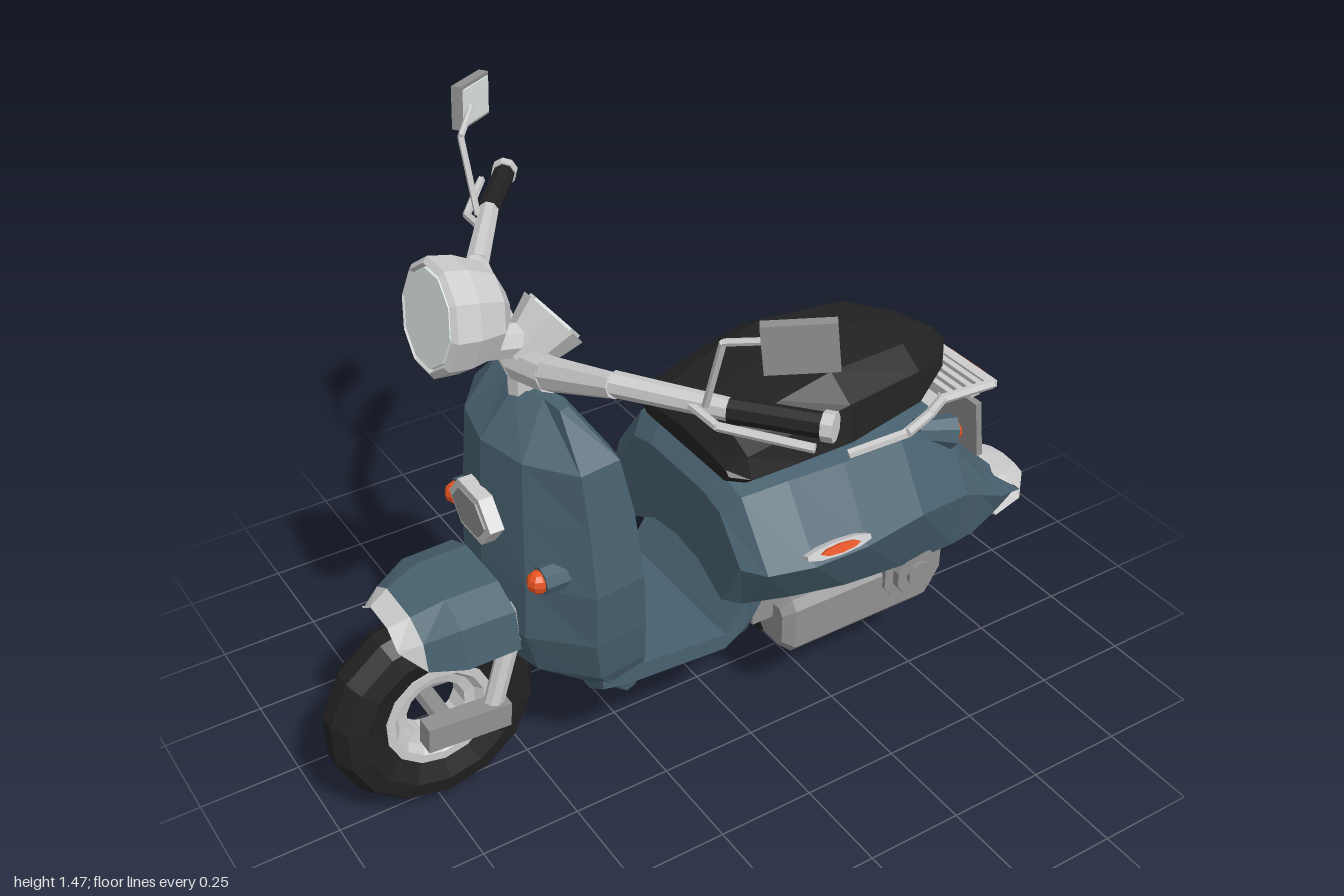
import * as THREE from 'three';

const mat = (color, side = THREE.FrontSide) => new THREE.MeshStandardMaterial({ color, flatShading: true, side });
const V = (x, y, z) => new THREE.Vector3(x, y, z);

export function createModel() {
  const model = new THREE.Group();
  const paint = mat(0x48616f), paintThin = mat(0x48616f, THREE.DoubleSide);
  const grey = mat(0xcccccc), greyThin = mat(0xcccccc, THREE.DoubleSide);
  const metal = mat(0x909090), black = mat(0x222222), orange = mat(0xe6531f), glass = mat(0xdfe8e6);

  function add(name, geo, material, pos = [0, 0, 0], rot = [0, 0, 0]) {
    const m = new THREE.Mesh(geo, material);
    m.name = name;
    m.position.set(...pos);
    m.rotation.set(...rot);
    model.add(m);
    return m;
  }
  const box = (name, size, material, pos, rot) => add(name, new THREE.BoxGeometry(...size), material, pos, rot);

  // straight round bar between two points
  function rod(name, a, b, r, material, r2 = r, sides = 8) {
    const p = V(...a), q = V(...b), d = q.clone().sub(p);
    const m = add(name, new THREE.CylinderGeometry(r2, r, d.length(), sides), material);
    m.position.copy(p).add(q).multiplyScalar(0.5);
    m.quaternion.setFromUnitVectors(V(0, 1, 0), d.normalize());
    return m;
  }
  const bars = (name, pts, r, material, sides) => {
    for (let i = 1; i < pts.length; i++) rod(name, pts[i - 1], pts[i], r, material, r, sides);
  };

  // mirror a half outline that runs from centre to centre
  const mirror = half => half.concat(half.slice().reverse().filter(p => Math.abs(p.z) > 1e-6).map(p => V(p.x, p.y, -p.z)));

  // skin over cross-sections; closed skins get end caps and are turned outward
  function loft(rings, closed = true) {
    const pos = [], n = rings[0].length;
    const tri = (a, b, c) => pos.push(...a.toArray(), ...b.toArray(), ...c.toArray());
    for (let i = 0; i < rings.length - 1; i++) {
      for (let j = 0; j < (closed ? n : n - 1); j++) {
        const k = (j + 1) % n, A = rings[i], B = rings[i + 1];
        tri(A[j], A[k], B[k]);
        tri(A[j], B[k], B[j]);
      }
    }
    if (closed) {
      [rings[0], rings[rings.length - 1]].forEach((r, e) => {
        const c = r.reduce((s, p) => s.add(p), V(0, 0, 0)).divideScalar(n);
        for (let j = 0; j < n; j++) e ? tri(c, r[j], r[(j + 1) % n]) : tri(c, r[(j + 1) % n], r[j]);
      });
      let vol = 0;
      for (let i = 0; i < pos.length; i += 9) {
        vol += V(...pos.slice(i, i + 3)).dot(V(...pos.slice(i + 3, i + 6)).cross(V(...pos.slice(i + 6, i + 9))));
      }
      if (vol < 0) for (let i = 0; i < pos.length; i += 9) {
        for (let j = 0; j < 3; j++) [pos[i + 3 + j], pos[i + 6 + j]] = [pos[i + 6 + j], pos[i + 3 + j]];
      }
    }
    const g = new THREE.BufferGeometry();
    g.setAttribute('position', new THREE.Float32BufferAttribute(pos, 3));
    g.computeVertexNormals();
    return g;
  }

  // wheels: tyre and open rim turned about the axle
  const turned = pts => new THREE.LatheGeometry(pts.map(p => new THREE.Vector2(...p)), 14).rotateX(Math.PI / 2);
  const tyre = turned([[0.13, -0.05], [0.19, -0.072], [0.235, -0.06], [0.26, -0.022], [0.26, 0.022], [0.235, 0.06], [0.19, 0.072], [0.13, 0.05], [0.13, -0.05]]);
  const rim = turned([[0.075, -0.03], [0.1, -0.035], [0.115, -0.056], [0.137, -0.056], [0.137, 0.056], [0.115, 0.056], [0.1, 0.035], [0.075, 0.03], [0.075, -0.03]]);
  for (const [name, x, y] of [['front', -0.74, 0.29], ['rear', 0.38, 0.27]]) {
    add(name + 'Tyre', tyre, black, [x, y, 0]);
    add(name + 'Rim', rim, greyThin, [x, y, 0]);
    rod(name + 'Axle', [x, y, -0.12], [x, y, 0.12], 0.025, metal);
  }

  // front fork and trailing links
  for (const s of [1, -1]) {
    rod('frontFork', [-0.63, 0.29, s * 0.1], [-0.53, 0.6, s * 0.1], 0.024, grey);
    box('forkLink', [0.21, 0.065, 0.05], metal, [-0.7, 0.285, s * 0.105], [0, 0, -0.08]);
  }

  // front fender: x, top, bottom, half width
  const fender = [[-0.84, 0.585, 0.55, 0.1], [-0.79, 0.605, 0.5, 0.135], [-0.71, 0.63, 0.495, 0.17], [-0.58, 0.63, 0.5, 0.175]].map(([x, t, b, w]) =>
    [V(x, b, w), V(x, t - 0.035, w * 0.9), V(x, t, w * 0.45), V(x, t, -w * 0.45), V(x, t - 0.035, -w * 0.9), V(x, b, -w)]);
  add('fenderTrim', loft(fender.slice(0, 2), false), greyThin);
  add('frontFender', loft(fender.slice(1), false), paintThin);

  // leg shield: y, front x, rear x, half width
  add('legShield', loft([
    [1.065, -0.47, -0.4, 0.14], [0.96, -0.56, -0.335, 0.245], [0.82, -0.57, -0.31, 0.26], [0.65, -0.58, -0.3, 0.28],
    [0.5, -0.585, -0.29, 0.265], [0.38, -0.55, -0.28, 0.24], [0.26, -0.36, -0.28, 0.19],
  ].map(([y, f, b, w]) => mirror([
    V(f, y, 0), V(f + 0.03, y, w * 0.55), V(f + (b - f) * 0.5, y, w), V(b - 0.01, y, w * 0.95), V(b, y, w * 0.7),
    V(b - 0.045, y, w * 0.35), V(b - 0.03, y, w * 0.18), V(b - 0.025, y, 0),
  ]))), paint);

  // floor: x, top, bottom, half width
  add('floorboard', loft([
    [-0.4, 0.37, 0.28, 0.22], [-0.33, 0.36, 0.26, 0.22], [-0.06, 0.335, 0.25, 0.22], [0, 0.42, 0.245, 0.22], [0.055, 0.5, 0.24, 0.2], [0.11, 0.5, 0.41, 0.2],
  ].map(([x, t, b, w]) => mirror([V(x, t, 0), V(x, t, w), V(x, (t + b) / 2, w), V(x, b, w * 0.7), V(x, b, 0)]))), paint);

  // rear body: x, top y, half width, waist y, half width, bottom y, half width
  add('rearBody', loft([
    [-0.06, 0.7, 0.19, 0.57, 0.28, 0.43, 0.2], [-0.02, 0.745, 0.22, 0.57, 0.335, 0.42, 0.23], [0.1, 0.755, 0.235, 0.56, 0.355, 0.41, 0.26],
    [0.25, 0.76, 0.25, 0.56, 0.357, 0.395, 0.28], [0.42, 0.76, 0.25, 0.58, 0.35, 0.38, 0.28], [0.6, 0.71, 0.215, 0.54, 0.3, 0.365, 0.265],
    [0.68, 0.58, 0.185, 0.49, 0.27, 0.36, 0.25], [0.8, 0.46, 0.14, 0.41, 0.22, 0.35, 0.2], [0.92, 0.36, 0.08, 0.35, 0.16, 0.335, 0.14],
  ].map(([x, t, tw, m, mw, b, bw]) => mirror([
    V(x, t, 0), V(x, t, tw * 0.6), V(x, t - 0.02, tw), V(x, m, mw), V(x, b, bw), V(x, b + (m - b) * 0.4, 0.1), V(x, b + (m - b) * 0.5, 0),
  ]))), paint);
  add('tailTip', loft([[0.79, 0.385, 0.335, 0.215], [0.91, 0.375, 0.31, 0.172], [1, 0.345, 0.333, 0.08]].map(([x, t, b, w]) =>
    mirror([V(x, t, 0), V(x, t - 0.005, w * 0.6), V(x, (t + b) / 2 - 0.01, w), V(x, b, w * 0.8), V(x, b + 0.005, 0)]))), grey);

  // saddle: x, top, bottom, half width
  add('seat', loft([
    [-0.035, 0.8, 0.75, 0.19], [0.01, 0.855, 0.74, 0.215], [0.14, 0.9, 0.75, 0.23], [0.28, 0.935, 0.76, 0.24], [0.51, 0.925, 0.775, 0.205],
    [0.64, 0.88, 0.79, 0.125], [0.705, 0.84, 0.81, 0.05],
  ].map(([x, t, b, w]) => mirror([V(x, t, 0), V(x, t - 0.01, w * 0.6), V(x, t - (t - b) * 0.35, w * 0.93), V(x, b + 0.02, w), V(x, b, w * 0.9), V(x, b, 0)]))), black);

  // luggage rack
  for (const s of [1, -1]) {
    bars('rackSide', [[0.27, 0.75, 0.24], [0.4, 0.79, 0.29], [0.5, 0.785, 0.25], [0.59, 0.765, 0.19], [0.75, 0.755, 0.19]].map(([x, y, z]) => [x, y, z * s]), 0.013, grey, 6);
  }
  for (let i = 0; i < 5; i++) box('rackSlat', [i === 4 ? 0.028 : 0.017, 0.018, 0.39], grey, [0.625 + i * 0.031, 0.762 - i * 0.002, 0]);

  // tail lamp bracket, lamp and blank plate
  bars('lampBracket', [[0.66, 0.6, 0], [0.71, 0.655, 0], [0.82, 0.67, 0]], 0.045, grey, 8);
  box('tailLampBase', [0.03, 0.065, 0.15], grey, [0.805, 0.67, 0]);
  box('tailLamp', [0.025, 0.05, 0.135], orange, [0.828, 0.67, 0]);
  box('plateFrame', [0.018, 0.17, 0.175], metal, [0.82, 0.535, 0], [0, 0, 0.12]);
  box('plate', [0.008, 0.145, 0.15], grey, [0.832, 0.537, 0], [0, 0, 0.12]);

  // indicators and side reflectors
  const disc = (r, l, n = 8) => new THREE.CylinderGeometry(r, r, l, n);
  for (const s of [1, -1]) {
    rod('rearIndicatorHousing', [0.5, 0.71, s * 0.2], [0.6, 0.685, s * 0.22], 0.03, paint, 0.045);
    add('rearIndicator', new THREE.SphereGeometry(0.03, 8, 6), orange, [0.6, 0.685, s * 0.22]);
    add('frontIndicatorBase', disc(0.034, 0.06), paint, [-0.505, 0.69, s * 0.2], [0, 0, Math.PI / 2]);
    add('frontIndicator', new THREE.SphereGeometry(0.028, 8, 6), orange, [-0.54, 0.69, s * 0.2]);
    add('reflectorFrame', disc(1, 0.02, 10).rotateX(Math.PI / 2).scale(0.095, 0.018, 1), grey, [0.165, 0.59, s * 0.35], [-s * 0.4, 0, -0.03]);
    add('reflector', disc(1, 0.03, 8).rotateX(Math.PI / 2).scale(0.055, 0.011, 1), orange, [0.165, 0.592, s * 0.353], [-s * 0.4, 0, -0.03]);
  }
  // horn cover on the shield
  add('hornCover', disc(1, 0.035, 6).rotateZ(Math.PI / 2).scale(1, 0.07, 0.1), grey, [-0.582, 0.78, 0]);
  add('hornGrille', disc(1, 0.04, 6).rotateZ(Math.PI / 2).scale(1, 0.052, 0.078), metal, [-0.584, 0.78, 0]);

  // steering stem, headlamp and gauge
  rod('steeringStem', [-0.45, 1.02, 0], [-0.445, 1.2, 0], 0.035, grey);
  rod('headlampNeck', [-0.56, 1.2, 0], [-0.42, 1.17, 0], 0.04, grey);
  const lamp = [[0, 0.09], [0.05, 0.085], [0.105, 0.045], [0.125, -0.02], [0.128, -0.075], [0.115, -0.085], [0.108, -0.075], [0, -0.08]];
  add('headlamp', new THREE.LatheGeometry(lamp.map(([r, y]) => new THREE.Vector2(r, y)), 10), greyThin, [-0.575, 1.278, 0], [0, 0, -Math.PI / 2 - 0.18]);
  add('headlampLens', disc(0.106, 0.012, 10), glass, [-0.651, 1.292, 0], [0, 0, -Math.PI / 2 - 0.18]);
  rod('gaugeHousing', [-0.46, 1.13, 0], [-0.365, 1.205, 0], 0.05, grey, 0.083);
  rod('gaugeFace', [-0.37, 1.202, 0], [-0.36, 1.21, 0], 0.07, glass);

  // handlebar halves with grips, levers and mirrors
  for (const s of [1, -1]) {
    const P = (x, y, z) => [x, y, z * s];
    rod('handlebar', P(-0.45, 1.12, 0), P(-0.44, 1.145, 0.12), 0.042, grey, 0.04);
    rod('handlebar', P(-0.44, 1.145, 0.11), P(-0.395, 1.205, 0.31), 0.04, grey, 0.028);
    rod('handlebar', P(-0.395, 1.205, 0.3), P(-0.25, 1.21, 0.52), 0.028, grey, 0.024);
    rod('grip', P(-0.255, 1.21, 0.515), P(-0.13, 1.213, 0.67), 0.027, black);
    rod('gripEnd', P(-0.135, 1.213, 0.665), P(-0.12, 1.214, 0.685), 0.032, grey);
    bars('brakeLever', [P(-0.31, 1.21, 0.46), P(-0.3, 1.2, 0.54), P(-0.18, 1.195, 0.7)], 0.01, grey, 6);
    bars('mirrorArm', [P(-0.295, 1.22, 0.49), P(-0.295, 1.395, 0.55), P(-0.22, 1.42, 0.64)], 0.008, grey, 6);
    const turn = s * -0.64;
    box('mirrorBack', [0.145, 0.105, 0.025], metal, P(-0.205, 1.42, 0.675), [0, turn, s * 0.1]);
    box('mirrorGlass', [0.125, 0.088, 0.008], glass, P(-0.197, 1.42, 0.664), [0, turn, s * 0.1]);
  }

  // engine casing on one side, silencer on the other
  const casing = (name, x, y, z, l, h, d) => add(name, loft([[-0.5, 0.7], [-0.44, 1], [0.42, 1], [0.5, 0.75]].map(([t, k]) =>
    [[-1, -0.7], [-0.7, -1], [0.7, -1], [1, -0.7], [1, 0.7], [0.7, 1], [-0.7, 1], [-1, 0.7]].map(([a, b]) => V(x + t * l, y + a * h * k / 2, z + b * d * k / 2)))), metal);
  casing('engineCasing', 0.335, 0.285, 0.185, 0.47, 0.16, 0.13);
  for (const [r, z] of [[0.092, 0.235], [0.065, 0.255], [0.035, 0.265]]) add('clutchCover', disc(r, 0.05, 10), metal, [0.48, 0.335, z], [Math.PI / 2, 0, 0]);
  box('engineBlock', [0.22, 0.12, 0.28], metal, [0.15, 0.36, 0.05]);
  casing('silencer', 0.34, 0.265, -0.16, 0.46, 0.12, 0.1);
  for (let i = 0; i < 3; i++) box('silencerSlot', [0.08, 0.05, 0.012], grey, [0.22 + i * 0.11, 0.27, -0.21]);
  rod('exhaustPipe', [0.0, 0.3, -0.08], [0.14, 0.27, -0.15], 0.025, metal);
  return model;
}
